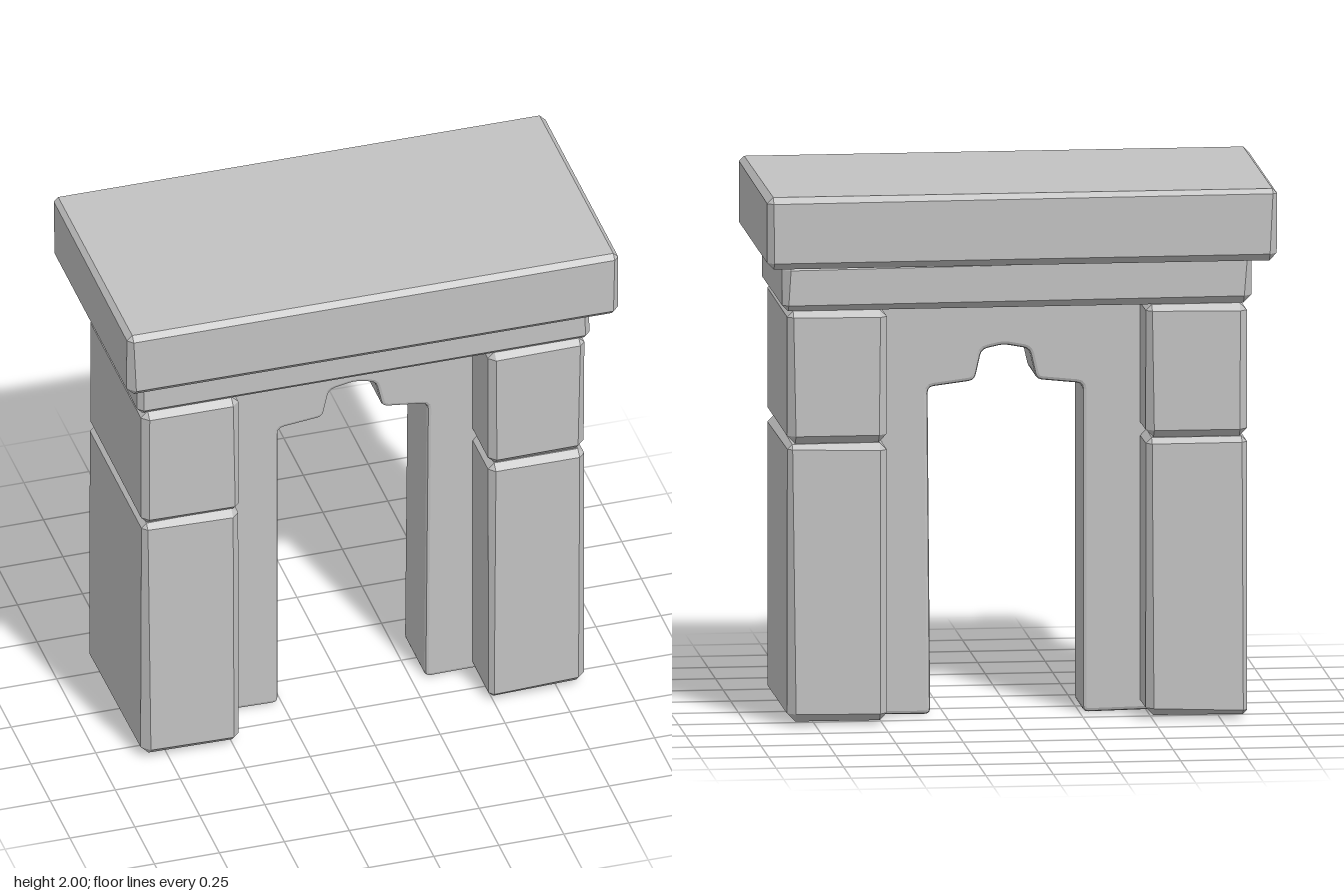
import * as THREE from 'three';
import { ConvexGeometry } from 'three/addons/geometries/ConvexGeometry.js';

const stone = new THREE.MeshStandardMaterial({ color: 0xc2c2c2 });
stone.name = 'greyStone';

// Small seeded generator for the uneven, hand-cut chamfers
let seed = 7;
const rand = () => (seed = (seed * 16807) % 2147483647) / 2147483647;

// Block between two corners, with every edge chamfered a little unevenly
function block(name, min, max) {
  const points = [];
  const centre = min.map((v, i) => (v + max[i]) / 2);
  const half = min.map((v, i) => (max[i] - v) / 2);
  for (const sx of [-1, 1]) for (const sy of [-1, 1]) for (const sz of [-1, 1]) {
    const sign = [sx, sy, sz];
    const cut = 0.016 + 0.016 * rand();
    // Three points per corner, one on each face that meets there
    for (let face = 0; face < 3; face++) {
      const p = sign.map((s, i) => centre[i] + s * (half[i] - (i === face ? 0 : cut)));
      points.push(new THREE.Vector3(...p));
    }
  }
  const mesh = new THREE.Mesh(new ConvexGeometry(points), stone);
  mesh.name = name;
  return mesh;
}

// Outline with each corner eased by a short curve
function easedShape(corners, radius) {
  const shape = new THREE.Shape();
  const pts = corners.map(([x, y]) => new THREE.Vector2(x, y));
  pts.forEach((p, i) => {
    const prev = pts[(i + pts.length - 1) % pts.length];
    const next = pts[(i + 1) % pts.length];
    const toward = (q) => p.clone().lerp(q, Math.min(0.4, radius / p.distanceTo(q)));
    const a = toward(prev), b = toward(next);
    if (i === 0) shape.moveTo(a.x, a.y); else shape.lineTo(a.x, a.y);
    shape.quadraticCurveTo(p.x, p.y, b.x, b.y);
  });
  shape.closePath();
  return shape;
}

// Thin inner wall with a stepped doorway
function archWall() {
  const outline = [
    [-0.56, 0.01], [-0.262, 0.004], [-0.262, 1.232], [-0.09, 1.25], [-0.064, 1.365],
    [0.03, 1.383], [0.112, 1.365], [0.138, 1.25], [0.312, 1.228], [0.302, 0.006],
    [0.60, 0.01], [0.60, 1.56], [-0.56, 1.56],
  ];
  const bevel = 0.014, depth = 0.27;
  const geometry = new THREE.ExtrudeGeometry(easedShape(outline, 0.022), {
    depth: depth - 2 * bevel, curveSegments: 3,
    bevelEnabled: true, bevelThickness: bevel, bevelSize: bevel, bevelOffset: -bevel, bevelSegments: 2,
  });
  geometry.translate(0, 0, -depth / 2 + bevel);
  geometry.computeBoundingBox();
  geometry.translate(0, -geometry.boundingBox.min.y, 0);
  const mesh = new THREE.Mesh(geometry, stone);
  mesh.name = 'archWall';
  return mesh;
}

export function createModel() {
  const group = new THREE.Group();
  group.name = 'stoneGate';

  // Two-block pillars on either side
  for (const [side, x0, x1] of [['right', -0.85, -0.475], ['left', 0.485, 0.855]]) {
    group.add(block(side + 'LowerPillar', [x0, 0.015, -0.345], [x1, 1.053, 0.355]));
    group.add(block(side + 'UpperPillar', [x0, 1.053, -0.345], [x1, 1.55, 0.355]));
  }

  group.add(archWall());

  // Lintel and overhanging capstone
  group.add(block('lintel', [-0.867, 1.55, -0.345], [0.874, 1.735, 0.355]));
  group.add(block('capstone', [-0.945, 1.73, -0.487], [0.945, 2, 0.487]));
  return group;
}
